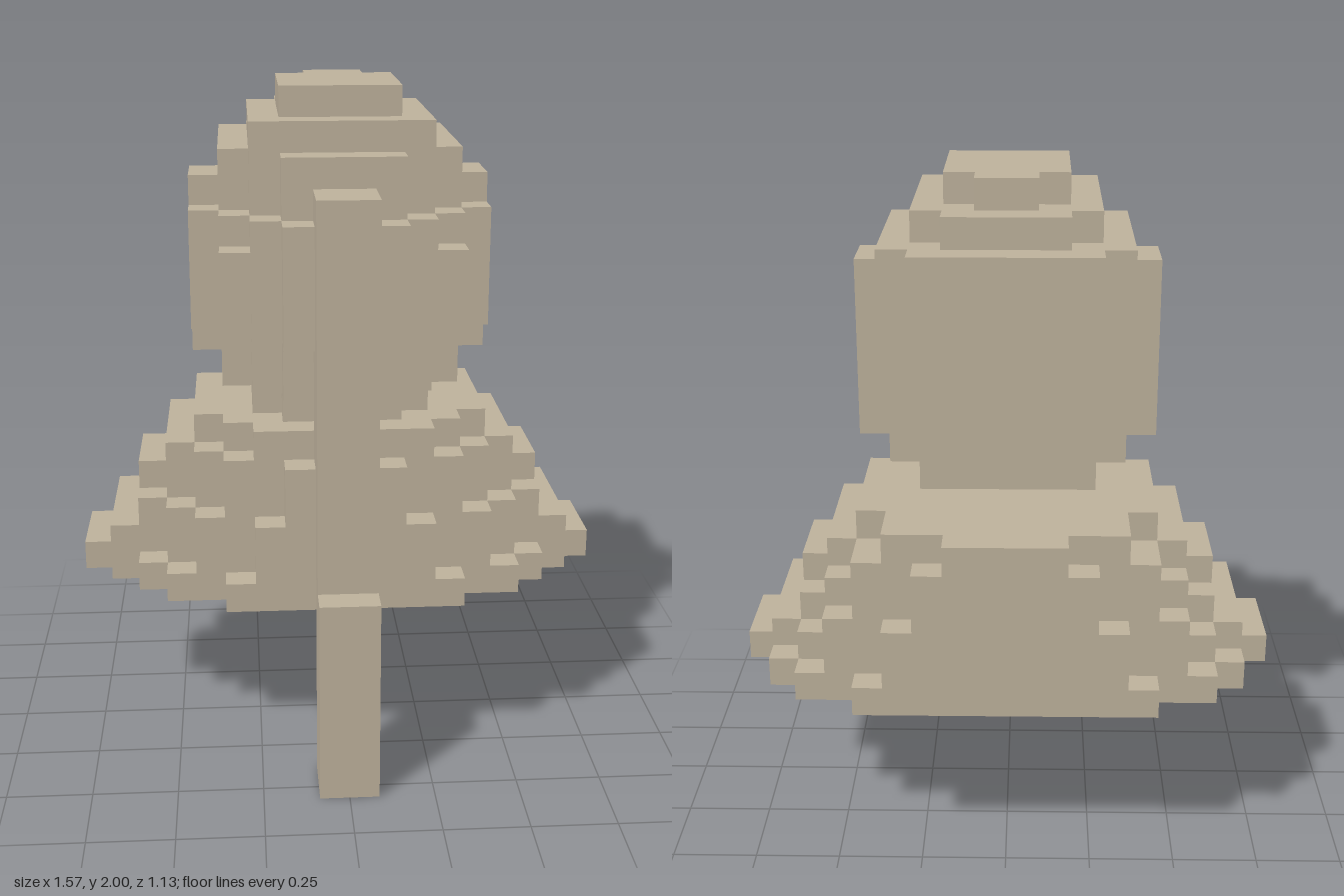
import * as THREE from 'three';
import { mergeGeometries } from 'three/addons/utils/BufferGeometryUtils.js';

const U = 2 / 23; // one cube

// One cube-high slab: half-widths per row, running from zStart toward +z
function slab(y, zStart, rows) {
  const right = [];
  rows.forEach((w, i) => {
    if (!w) return;
    right.push([w, -(zStart + i)], [w, -(zStart + i + 1)]);
  });
  // drop repeated and collinear corners
  const clean = right.filter(([w], i) => {
    const before = right[i - 1], after = right[i + 1];
    return !before || !after || before[0] !== w || after[0] !== w;
  });
  const left = clean.map(([x, z]) => [-x, z]).reverse();
  const points = [...clean, ...left].map(([x, z]) => new THREE.Vector2(x * U, z * U));
  const geometry = new THREE.ExtrudeGeometry(new THREE.Shape(points), { depth: U, bevelEnabled: false });
  return geometry.rotateX(-Math.PI / 2).translate(0, y * U, 0);
}

export function createModel() {
  const model = new THREE.Group();
  const stone = new THREE.MeshStandardMaterial({ color: 0xc0b49e });
  stone.name = 'sandy stone';

  const addLayers = (name, yStart, zStart, layers) => {
    const mesh = new THREE.Mesh(
      mergeGeometries(layers.map((rows, i) => slab(yStart + i, zStart, rows))), stone);
    mesh.name = name;
    model.add(mesh);
  };
  const addPost = (name, y0, y1, z0, z1) => {
    const mesh = new THREE.Mesh(new THREE.BoxGeometry(2 * U, (y1 - y0) * U, (z1 - z0) * U), stone);
    mesh.name = name;
    mesh.position.set(0, (y0 + y1) / 2 * U, (z0 + z1) / 2 * U);
    model.add(mesh);
  };

  // Flared, stepped shoulders with a flat back
  addLayers('shoulders', 6, -6.5, [
    [5, 7, 8, 8, 9, 9, 9, 8, 7, 6, 4],
    [4, 6, 7, 8, 8, 8, 8, 8, 6, 5, 3],
    [4, 6, 6, 7, 7, 7, 7, 7, 6, 5, 3],
    [3, 5, 6, 6, 7, 7, 7, 6, 5, 4, 2],
    [3, 5, 5, 6, 6, 6, 6, 6, 5, 4, 2],
    [2, 4, 4, 5, 5, 5, 5, 5, 4, 3, 0],
  ]);

  // Neck and chin
  addLayers('neck', 12, -1.5, [
    [3, 3, 3, 2],
    [4, 4, 4, 3, 2],
  ]);

  // Rounded face with a flat back
  addLayers('head', 14, -1.5, [
    [5, 5, 4, 3, 2],
    [5, 5, 5, 4, 3, 2],
    [5, 5, 5, 4, 4, 2],
    [5, 5, 5, 4, 4, 2],
    [5, 5, 5, 4, 3, 2],
    [5, 5, 4, 3, 2],
  ]);

  // Stepped cap overhanging the back
  addLayers('cap', 20, -5.5, [
    [3, 4, 4, 4, 4, 4, 4, 3, 2],
    [0, 2, 3, 3, 3, 3, 3, 3],
    [0, 0, 1, 2, 2, 2, 2],
  ]);

  // Front staff in two offset lengths
  addPost('lowerStaff', 0, 7, 4.5, 6.5);
  addPost('upperStaff', 6, 20, 3.5, 5.5);

  return model;
}
